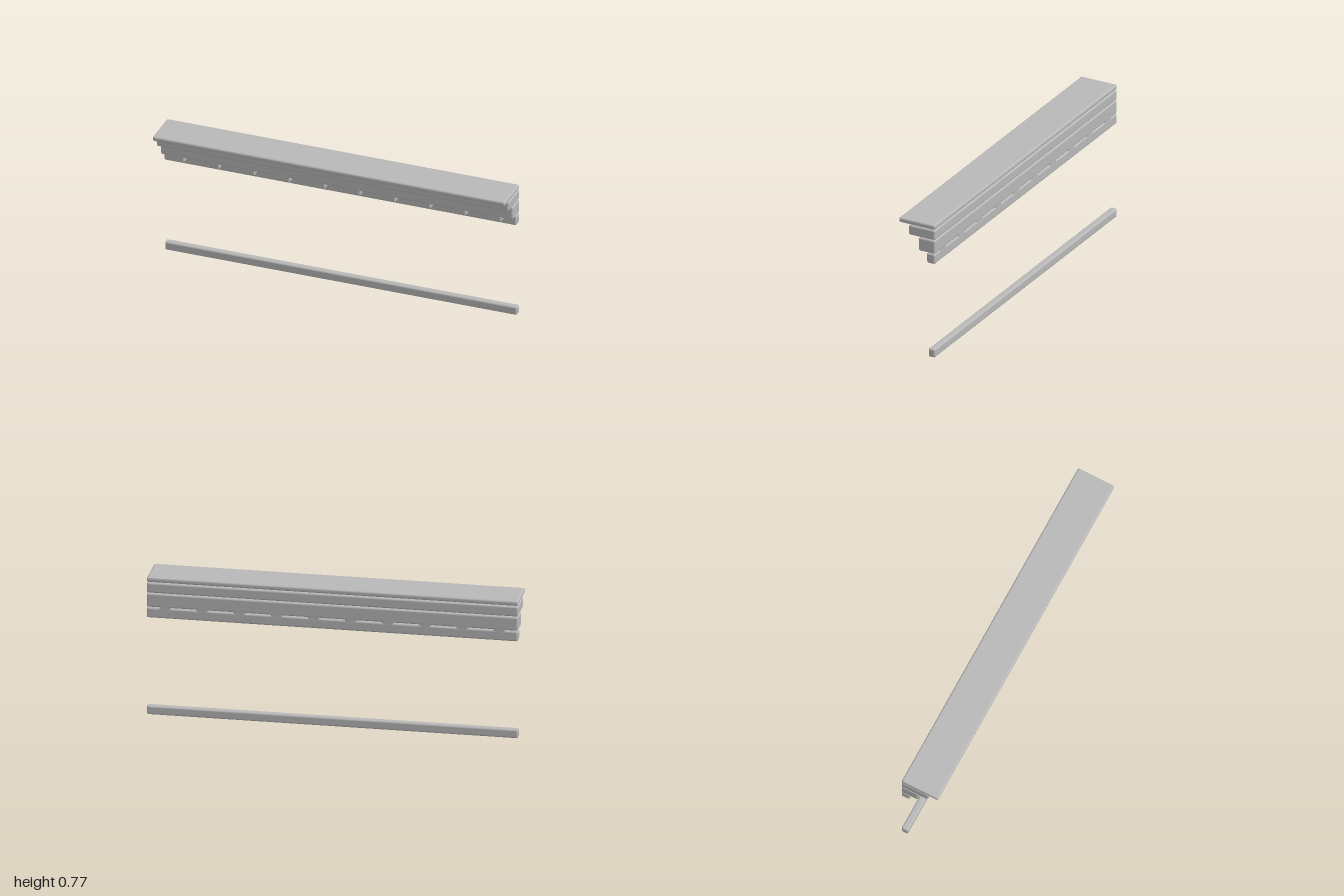
import * as THREE from 'three';
import { RoundedBoxGeometry } from 'three/addons/geometries/RoundedBoxGeometry.js';

const BACK = -0.109;

export function createModel() {
  const group = new THREE.Group();
  const stone = new THREE.MeshStandardMaterial({ color: 0xb8b8b8 });
  stone.name = 'grey stone';

  // Rounded bar given by its centre x, width, height range and depth range
  function bar(name, x, width, y0, y1, front, radius, back = BACK) {
    const geometry = new RoundedBoxGeometry(width, y1 - y0, front - back, 3, radius);
    const mesh = new THREE.Mesh(geometry, stone);
    mesh.name = name;
    mesh.position.set(x, (y0 + y1) / 2, (front + back) / 2);
    group.add(mesh);
  }

  // Stepped cornice courses, each set further back than the one above
  bar('topSlab', 0, 2, 0.748, 0.775, 0.109, 0.01);
  bar('upperCourse', 0, 2, 0.688, 0.745, 0.05, 0.01);
  bar('middleCourse', 0, 2, 0.608, 0.685, -0.01, 0.01);
  bar('lowerCourse', 0, 2, 0.548, 0.605, -0.06, 0.01);

  // Row of small blocks under the middle course
  for (let i = 0; i < 10; i++) {
    bar('dentil', -0.9 + i * 0.2, 0.065, 0.579, 0.635, -0.0105, 0.008, BACK + 0.0005);
  }

  // Separate moulding at the base
  bar('baseMoulding', 0, 2, 0, 0.049, -0.07, 0.01);

  return group;
}
